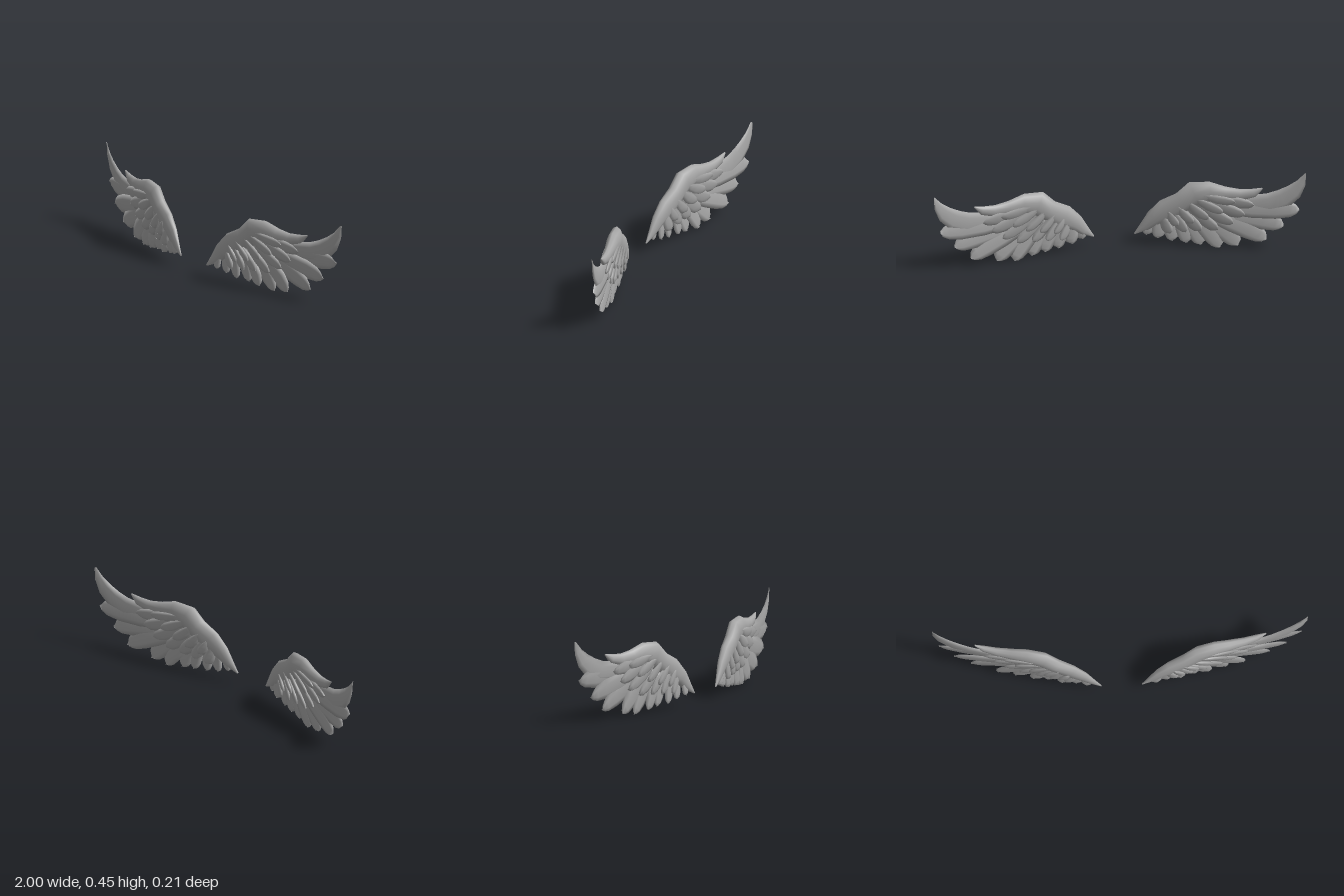
import * as THREE from 'three';

// Both wings sweep backwards in a straight line from the shoulder
const sweep = (x) => 0.097 - 0.228 * (x - 0.11);

// Skin a row of elliptical sections [x, y, halfWidth, halfThickness] lying in the wing plane
function loft(stations, side, sides, offset = 0, tilt = 0) {
  const pos = [], index = [];
  const last = stations.length - 1;
  stations.forEach(([x, y, hw, ht], i) => {
    const a = stations[Math.max(i - 1, 0)], b = stations[Math.min(i + 1, last)];
    const len = Math.hypot(b[0] - a[0], b[1] - a[1]);
    const nx = -(b[1] - a[1]) / len, ny = (b[0] - a[0]) / len;
    for (let j = 0; j < sides; j++) {
      const t = (j / sides) * Math.PI * 2;
      const w = Math.cos(t) * hw;
      const px = x + nx * w;
      pos.push(side * px, y + ny * w, sweep(px) + offset + Math.sin(t) * ht + Math.cos(t) * tilt);
    }
  });
  const tri = (a, b, c) => (side > 0 ? index.push(a, b, c) : index.push(a, c, b));
  for (let i = 0; i < last; i++) {
    for (let j = 0; j < sides; j++) {
      const k = (j + 1) % sides;
      const a = i * sides + j, b = i * sides + k, c = b + sides, d = a + sides;
      tri(a, b, c);
      tri(a, c, d);
    }
  }
  // End caps
  for (let j = 1; j < sides - 1; j++) {
    tri(0, j + 1, j);
    tri(last * sides, last * sides + j, last * sides + j + 1);
  }
  const g = new THREE.BufferGeometry();
  g.setAttribute('position', new THREE.Float32BufferAttribute(pos, 3));
  g.setIndex(index);
  g.computeVertexNormals();
  return g;
}

// Width profiles along a feather: [position, share of half width]
const BLUNT = [[0, 0.3], [0.2, 0.75], [0.45, 1], [0.7, 1], [0.87, 0.8], [0.95, 0.5], [1, 0.06]];
const POINTED = [[0, 0.4], [0.2, 0.85], [0.45, 1], [0.6, 0.95], [0.75, 0.75], [0.88, 0.42], [1, 0.03]];

function feather([x0, y0, cx, cy, x1, y1, hw], profile, thick, side, offset, tilt) {
  const curve = new THREE.QuadraticBezierCurve(
    new THREE.Vector2(x0, y0), new THREE.Vector2(cx, cy), new THREE.Vector2(x1, y1));
  const stations = profile.map(([t, w]) => {
    const p = curve.getPoint(t);
    return [p.x, p.y, hw * w, thick * Math.max(Math.sqrt(w), 0.15)];
  });
  return loft(stations, side, 6, offset, tilt);
}

// Feather rows: root, bend and tip points, then half width
const LEADING = [0.5, 0.27, 0.92, 0.19, 1.0, 0.45, 0.058];
const FLIGHT = [
  [0.45, 0.25, 0.78, 0.23, 0.965, 0.24, 0.055],
  [0.45, 0.22, 0.72, 0.19, 0.885, 0.14, 0.055],
  [0.43, 0.22, 0.65, 0.15, 0.795, 0.06, 0.055],
  [0.41, 0.22, 0.57, 0.13, 0.65, 0.018, 0.055],
  [0.39, 0.22, 0.5, 0.11, 0.555, 0.004, 0.05],
  [0.36, 0.21, 0.43, 0.1, 0.46, 0.015, 0.046],
  [0.33, 0.2, 0.37, 0.1, 0.385, 0.025, 0.042],
  [0.29, 0.19, 0.3, 0.1, 0.31, 0.03, 0.038],
  [0.24, 0.17, 0.235, 0.1, 0.235, 0.045, 0.036],
  [0.2, 0.15, 0.18, 0.1, 0.175, 0.06, 0.03],
];
const COVERTS = [
  [0.48, 0.3, 0.6, 0.27, 0.73, 0.26, 0.036],
  [0.45, 0.28, 0.58, 0.23, 0.68, 0.2, 0.036],
  [0.42, 0.27, 0.53, 0.18, 0.62, 0.15, 0.036],
  [0.38, 0.25, 0.46, 0.16, 0.54, 0.11, 0.035],
  [0.34, 0.23, 0.4, 0.15, 0.45, 0.1, 0.033],
  [0.3, 0.21, 0.34, 0.14, 0.37, 0.09, 0.03],
  [0.25, 0.18, 0.27, 0.12, 0.29, 0.08, 0.028],
];
const SMALL_COVERTS = [
  [0.46, 0.31, 0.54, 0.28, 0.63, 0.28, 0.029],
  [0.42, 0.29, 0.5, 0.24, 0.565, 0.215, 0.029],
  [0.38, 0.27, 0.43, 0.21, 0.49, 0.175, 0.028],
  [0.33, 0.24, 0.37, 0.18, 0.41, 0.15, 0.026],
  [0.28, 0.21, 0.3, 0.16, 0.33, 0.13, 0.024],
];
// Muscled leading edge from shoulder to wrist
const ARM = [
  [0.11, 0.064, 0.004, 0.004], [0.16, 0.107, 0.027, 0.014], [0.21, 0.16, 0.046, 0.024],
  [0.28, 0.21, 0.066, 0.031], [0.36, 0.262, 0.058, 0.037], [0.42, 0.312, 0.07, 0.038],
  [0.5, 0.322, 0.062, 0.035], [0.58, 0.315, 0.043, 0.028], [0.66, 0.312, 0.034, 0.022],
  [0.73, 0.326, 0.025, 0.016], [0.775, 0.354, 0.004, 0.004],
];

function buildWing(side, material) {
  const wing = new THREE.Group();
  wing.name = side > 0 ? 'leftWing' : 'rightWing';
  const add = (name, geometry) => {
    const mesh = new THREE.Mesh(geometry, material);
    mesh.name = name;
    wing.add(mesh);
  };
  add('wingArm', loft(ARM, side, 10));
  add('leadingFeather', feather(LEADING, POINTED, 0.011, side, 0, 0.004));
  FLIGHT.forEach((f, i) =>
    add('flightFeather' + (i + 1), feather(f, BLUNT, 0.01, side, i % 2 ? 0.003 : -0.003, 0.007)));
  // Coverts overlap the flight feathers on both faces
  for (const face of [1, -1]) {
    const label = face > 0 ? 'front' : 'back';
    COVERTS.forEach((f, i) =>
      add(label + 'Covert' + (i + 1), feather(f, BLUNT, 0.01, side, face * 0.016, face * 0.006)));
    SMALL_COVERTS.forEach((f, i) =>
      add(label + 'SmallCovert' + (i + 1), feather(f, BLUNT, 0.01, side, face * 0.027, face * 0.006)));
  }
  return wing;
}

export function createModel() {
  const model = new THREE.Group();
  model.name = 'wings';
  const grey = new THREE.MeshStandardMaterial({ color: 0xa8a8a8 });
  grey.name = 'featherGrey';
  for (const side of [1, -1]) model.add(buildWing(side, grey));
  return model;
}
